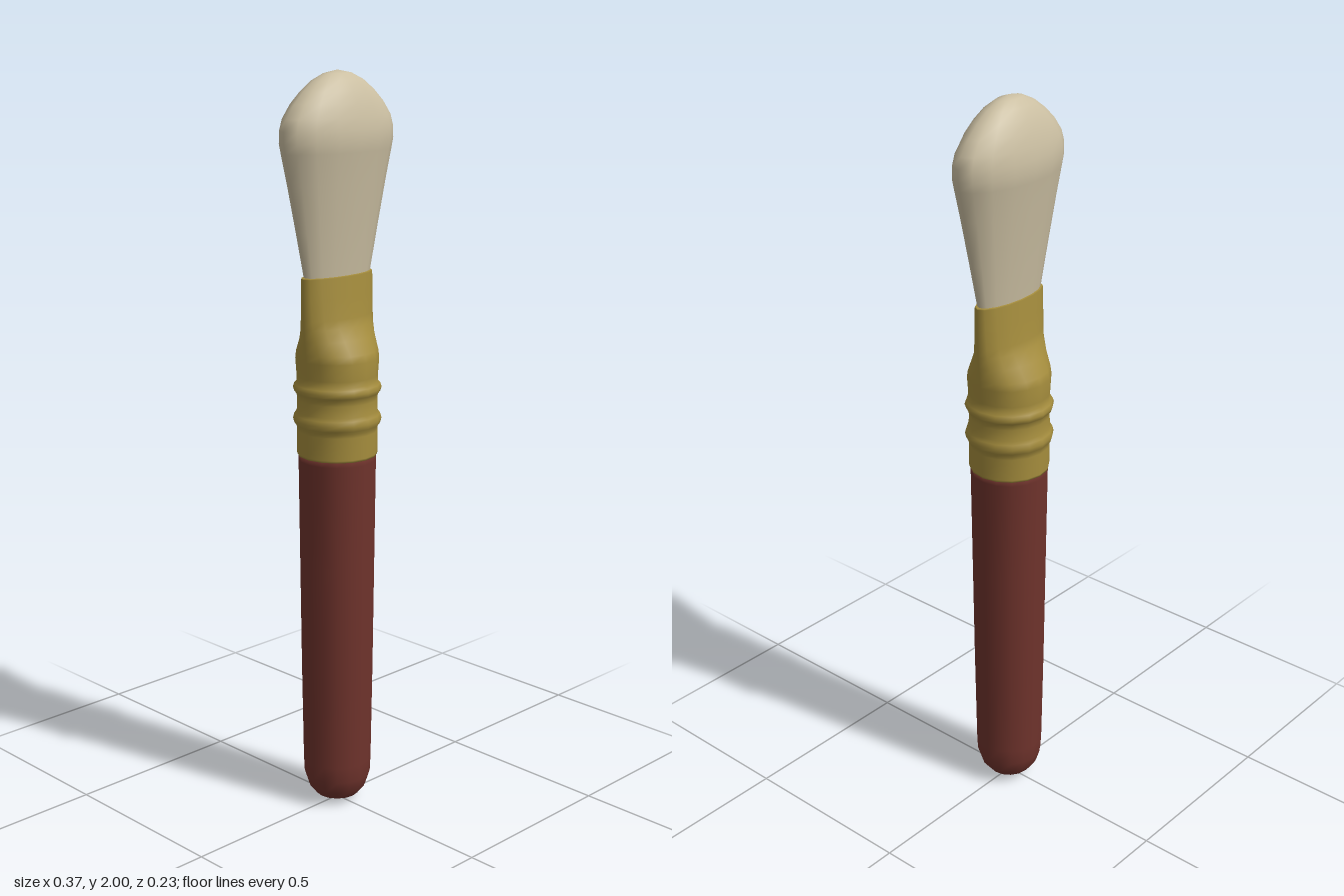
import * as THREE from 'three';
import { mergeVertices } from 'three/addons/utils/BufferGeometryUtils.js';

const SIDES = 16;

// Smooth loft through elliptical rings given as [y, radiusX, radiusZ], bottom to top
function loft(name, color, rings) {
  const positions = [], index = [];
  rings.forEach(([y, rx, rz = rx], i) => {
    for (let j = 0; j < SIDES; j++) {
      const a = (j / SIDES) * Math.PI * 2;
      positions.push(rx * Math.sin(a), y, rz * Math.cos(a));
      if (i === 0) continue;
      const next = (j + 1) % SIDES, low = (i - 1) * SIDES, high = i * SIDES;
      index.push(low + j, low + next, high + next, low + j, high + next, high + j);
    }
  });
  let geometry = new THREE.BufferGeometry();
  geometry.setAttribute('position', new THREE.Float32BufferAttribute(positions, 3));
  geometry.setIndex(index);
  geometry = mergeVertices(geometry, 1e-5); // joins the points at each pole
  geometry.computeVertexNormals();
  const mesh = new THREE.Mesh(geometry, new THREE.MeshStandardMaterial({ color }));
  mesh.name = name;
  return mesh;
}

// Half-round bead around the ferrule
function bead(y, r, height, bulge) {
  return [-1, -0.6, 0, 0.6, 1].map((t) => [y + t * height, r + bulge * (1 - t * t)]);
}

export function createModel() {
  const group = new THREE.Group();
  group.name = 'brush';

  // Tapered wooden handle with a rounded butt
  group.add(loft('handle', 0x6f332c, [
    [0.005, 0], [0.01, 0.03], [0.025, 0.06], [0.05, 0.08], [0.085, 0.091], [0.13, 0.093],
    [0.4, 0.097], [0.7, 0.1], [0.99, 0.103], [1.01, 0.103], [1.012, 0],
  ]));

  // Metal ferrule: round with two beads, flattening to an oval mouth
  group.add(loft('ferrule', 0xa58d3d, [
    [1.004, 0.09], [1.004, 0.106], [1.01, 0.107], [1.07, 0.107],
    ...bead(1.102, 0.107, 0.022, 0.01),
    [1.155, 0.106],
    ...bead(1.186, 0.107, 0.018, 0.01),
    [1.22, 0.107, 0.107], [1.265, 0.112, 0.108], [1.285, 0.114, 0.101], [1.32, 0.117, 0.079],
    [1.352, 0.119, 0.06], [1.375, 0.12, 0.055], [1.43, 0.122, 0.048],
    [1.482, 0.122, 0.043], [1.485, 0.121, 0.042], [1.485, 0.1, 0.03],
  ]));

  // Flat flared bristle head with a domed tip
  group.add(loft('bristles', 0xcbbfa2, [
    [1.44, 0.106, 0.036], [1.485, 0.114, 0.04], [1.6, 0.137, 0.055], [1.72, 0.162, 0.071],
    [1.8, 0.18, 0.083], [1.825, 0.185, 0.087], [1.855, 0.185, 0.085], [1.885, 0.176, 0.08],
    [1.92, 0.15, 0.07], [1.95, 0.118, 0.057], [1.975, 0.083, 0.042], [1.992, 0.045, 0.023], [2, 0, 0],
  ]));

  return group;
}
